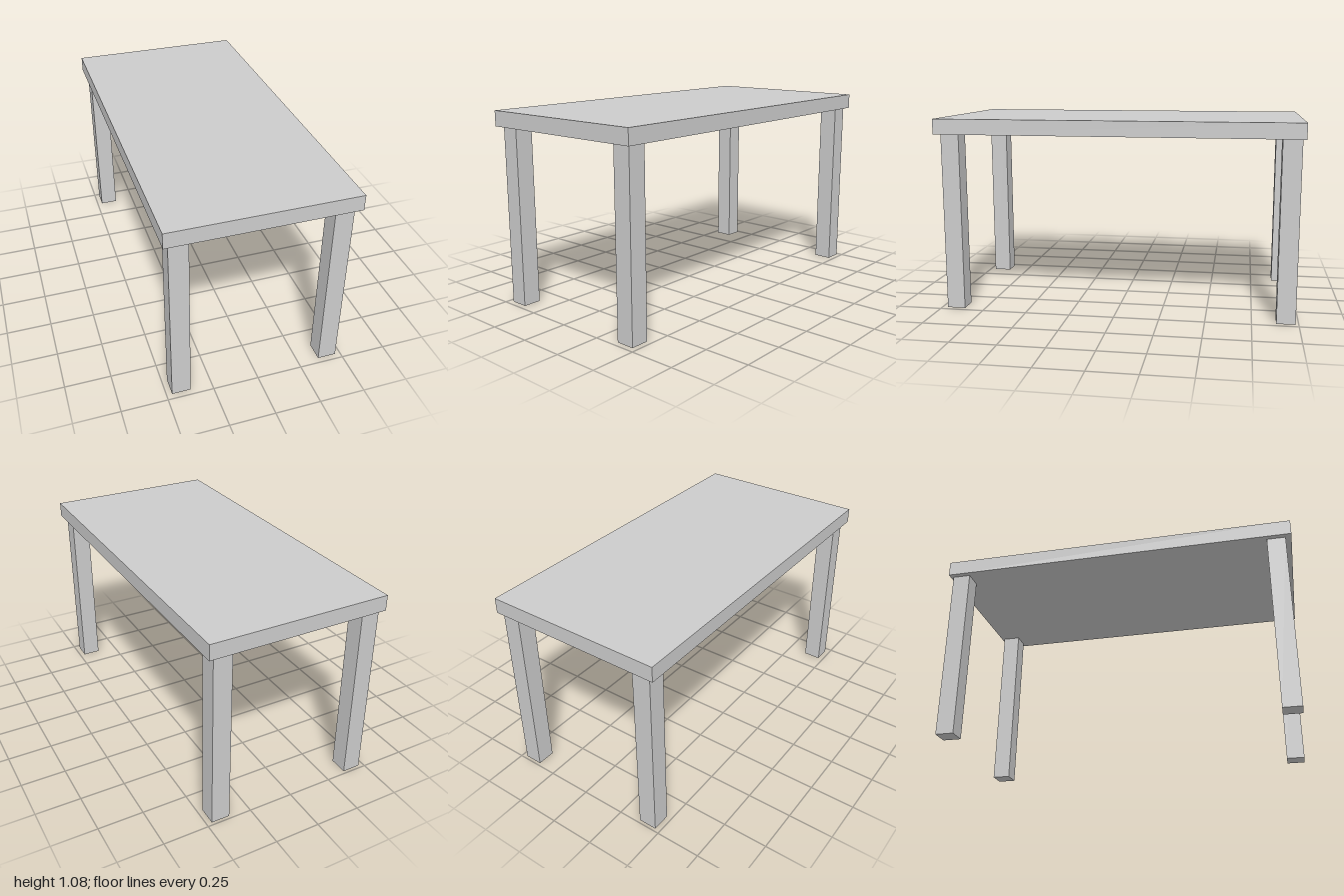
import * as THREE from 'three';

export function createModel() {
  const model = new THREE.Group();
  model.name = 'table';
  const material = new THREE.MeshStandardMaterial({ color: 0xcccccc, flatShading: true });

  const height = 1.077, legHeight = 0.992, legSize = 0.102;
  const topThickness = height - legHeight;

  function addBox(name, size, position) {
    const mesh = new THREE.Mesh(new THREE.BoxGeometry(...size), material);
    mesh.name = name;
    mesh.position.set(...position);
    model.add(mesh);
  }

  // Table top
  addBox('tableTop', [1, topThickness, 2], [0, legHeight + topThickness / 2, 0]);

  // Four square legs; the back pair stands slightly nearer the edge
  for (const [end, z] of [['front', 0.917], ['back', -0.932]]) {
    for (const [side, x] of [['Left', 0.419], ['Right', -0.419]]) {
      addBox(`${end}${side}Leg`, [legSize, legHeight, legSize], [x, legHeight / 2, z]);
    }
  }

  return model;
}
